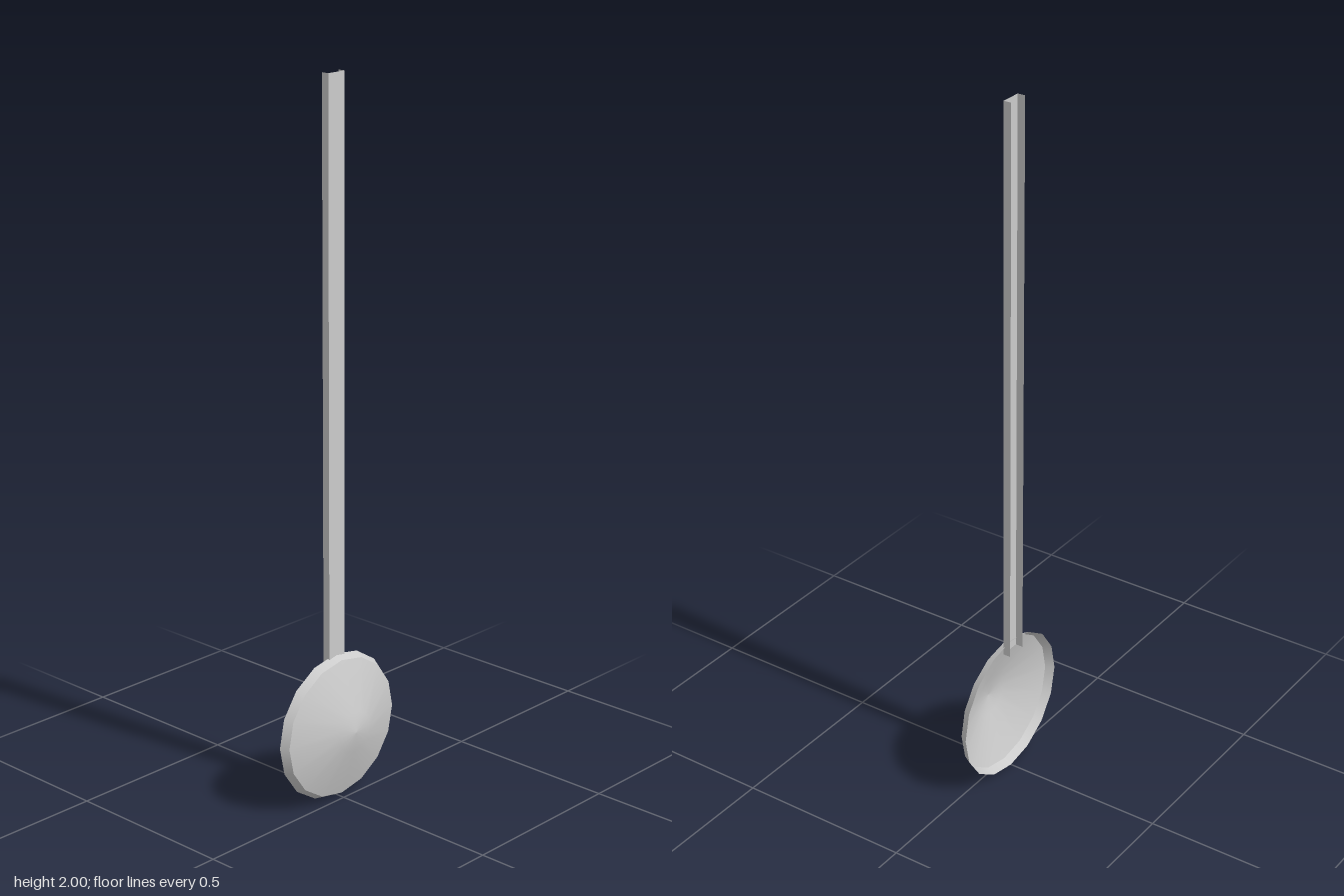
import * as THREE from 'three';

const material = new THREE.MeshStandardMaterial({ color: 0xcccccc, side: THREE.DoubleSide });

const SIDES = 16;
const BOB_Y = 0.21;

// Open surface turned around the z axis from [radius, z] points, back to front
function turned(name, points) {
  const geometry = new THREE.LatheGeometry(points.map(([r, z]) => new THREE.Vector2(r, z)), SIDES);
  geometry.rotateX(Math.PI / 2);
  geometry.scale(1, 0.963, 1);
  const mesh = new THREE.Mesh(geometry, material);
  mesh.name = name;
  mesh.position.y = BOB_Y;
  return mesh;
}

// Upright thin sheet, turned about y
function sheet(name, width, height, x, y, z, turn = 0) {
  const mesh = new THREE.Mesh(new THREE.PlaneGeometry(width, height), material);
  mesh.name = name;
  mesh.position.set(x, y, z);
  mesh.rotation.y = turn;
  return mesh;
}

export function createModel() {
  const model = new THREE.Group();
  model.name = 'pendulum';

  // Hollow bob: domed face and a flared rim with a sharp edge between them
  const bob = new THREE.Group();
  bob.name = 'bob';
  bob.add(
    turned('bobFace', [[0.205, -0.007], [0.06, 0.04], [0, 0.047]]),
    turned('bobRim', [[0.218, -0.03], [0.205, -0.007]])
  );
  model.add(bob);

  // Rod: a thin channel, open at the back
  const bottom = 0.39, top = 2, front = -0.025, back = -0.047, halfWidth = 0.03;
  const height = top - bottom, midY = (top + bottom) / 2;
  const rod = new THREE.Group();
  rod.name = 'rod';
  rod.add(sheet('rodFront', halfWidth * 2, height, 0, midY, front));
  for (const [name, side] of [['rodLeftFlange', 1], ['rodRightFlange', -1]]) {
    rod.add(sheet(name, front - back, height, side * halfWidth, midY, (front + back) / 2, side * Math.PI / 2));
  }
  model.add(rod);

  return model;
}
